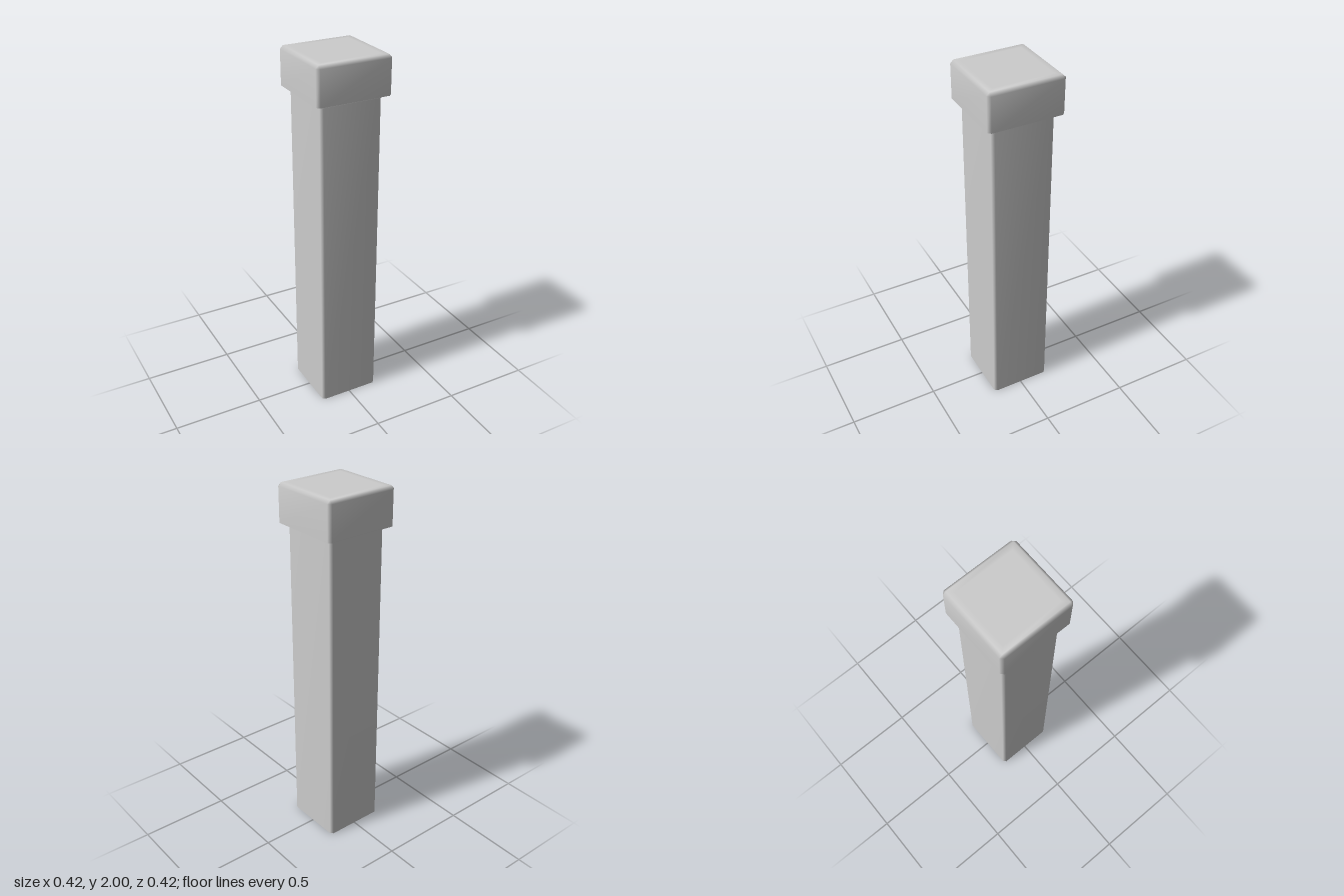
import * as THREE from 'three';
import { mergeVertices } from 'three/addons/utils/BufferGeometryUtils.js';

// Square shell, open below, with chamfered upright and top edges and smooth normals.
function chamferedShell(half, y0, y1, chamfer, rim) {
  const inner = half - chamfer;
  const outline = [
    [half, -inner], [half, inner], [inner, half], [-inner, half],
    [-half, inner], [-half, -inner], [-inner, -half], [inner, -half],
  ];
  // Each level: height and the limit its outline is clamped to
  const levels = [[y0, half], [y1 - chamfer, half], [y1, inner], [y1, inner - rim], [y1, 0]];
  const positions = [];
  const index = [];
  for (const [y, limit] of levels) {
    for (const [x, z] of outline) {
      positions.push(
        THREE.MathUtils.clamp(x, -limit, limit), y,
        THREE.MathUtils.clamp(z, -limit, limit));
    }
  }
  for (let i = 0; i < levels.length - 1; i++) {
    for (let k = 0; k < 8; k++) {
      const a = i * 8 + k;
      const b = i * 8 + (k + 1) % 8;
      index.push(a, a + 8, b, b, a + 8, b + 8);
    }
  }
  let geometry = new THREE.BufferGeometry();
  geometry.setAttribute('position', new THREE.Float32BufferAttribute(positions, 3));
  geometry.setIndex(index);
  geometry = mergeVertices(geometry, 1e-5);

  // Drop the triangles that collapsed where chamfer corners meet
  const kept = [];
  const ids = geometry.index.array;
  for (let i = 0; i < ids.length; i += 3) {
    const [a, b, c] = [ids[i], ids[i + 1], ids[i + 2]];
    if (a !== b && b !== c && c !== a) kept.push(a, b, c);
  }
  geometry.setIndex(kept);
  geometry.computeVertexNormals();
  return geometry;
}

export function createModel() {
  const model = new THREE.Group();
  model.name = 'post';
  const grey = new THREE.MeshStandardMaterial({ color: 0xcccccc, side: THREE.DoubleSide });
  grey.name = 'light grey';

  // Tall hollow shaft
  const shaft = new THREE.Mesh(chamferedShell(0.173, 0, 1.79, 0.015, 0.03), grey);
  shaft.name = 'shaft';

  // Wider hollow cap resting over the shaft
  const cap = new THREE.Mesh(chamferedShell(0.21, 1.793, 2, 0.017, 0.03), grey);
  cap.name = 'cap';

  model.add(shaft, cap);
  return model;
}
